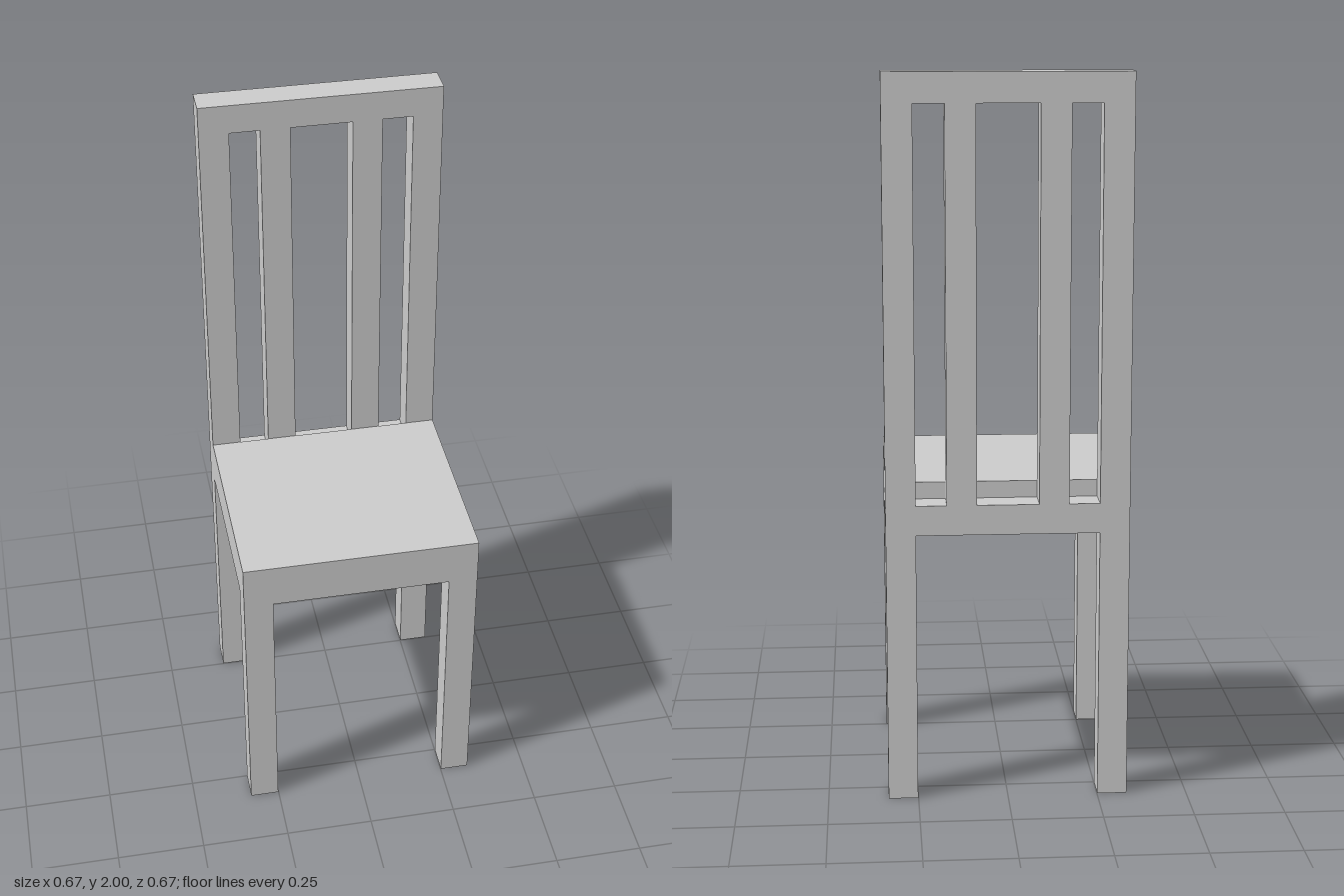
import * as THREE from 'three';

const HALF = 0.333;      // half width and half depth
const T = 0.082;         // thickness of legs, slats and rails
const FRAME_Y = 0.757;   // underside of seat frame
const BOARD_Y = 0.84;    // underside of seat board
const SEAT_Y = 0.887;    // top of seat board
const TOP = 2;
const INNER = HALF - T;

export function createModel() {
  const chair = new THREE.Group();
  chair.name = 'chair';
  const material = new THREE.MeshStandardMaterial({ color: 0xcccccc, flatShading: true });

  const add = (name, geometry) => {
    const mesh = new THREE.Mesh(geometry, material);
    mesh.name = name;
    chair.add(mesh);
  };
  // Box given by its lower and upper corners
  const box = (name, [x0, y0, z0], [x1, y1, z1]) => {
    const g = new THREE.BoxGeometry(x1 - x0, y1 - y0, z1 - z0);
    add(name, g.translate((x0 + x1) / 2, (y0 + y1) / 2, (z0 + z1) / 2));
  };
  const points = (list) => list.map(([x, y]) => new THREE.Vector2(x, y));

  // Back: legs, posts, rails and slats cut from one panel
  const back = new THREE.Shape(points([
    [-HALF, 0], [-INNER, 0], [-INNER, FRAME_Y], [INNER, FRAME_Y],
    [INNER, 0], [HALF, 0], [HALF, TOP], [-HALF, TOP],
  ]));
  const slatIn = 0.085, slatOut = slatIn + T;
  for (const [a, b] of [[-INNER, -slatOut], [-slatIn, slatIn], [slatOut, INNER]]) {
    back.holes.push(new THREE.Path(points([
      [a, BOARD_Y], [a, TOP - T], [b, TOP - T], [b, BOARD_Y],
    ])));
  }
  add('backFrame', new THREE.ExtrudeGeometry(back, { depth: T, bevelEnabled: false })
    .translate(0, 0, -HALF));

  // Seat board in front of the back posts
  box('seatBoard', [-HALF, BOARD_Y, -INNER], [HALF, SEAT_Y, HALF]);

  // Apron under the board, open in the middle
  box('frontApron', [-INNER, FRAME_Y, INNER], [INNER, BOARD_Y, HALF]);
  for (const [side, x] of [['left', INNER], ['right', -HALF]]) {
    box(side + 'Apron', [x, FRAME_Y, -INNER], [x + T, BOARD_Y, INNER]);
    box(side + 'FrontLeg', [x, 0, INNER], [x + T, BOARD_Y, HALF]);
  }
  return chair;
}
